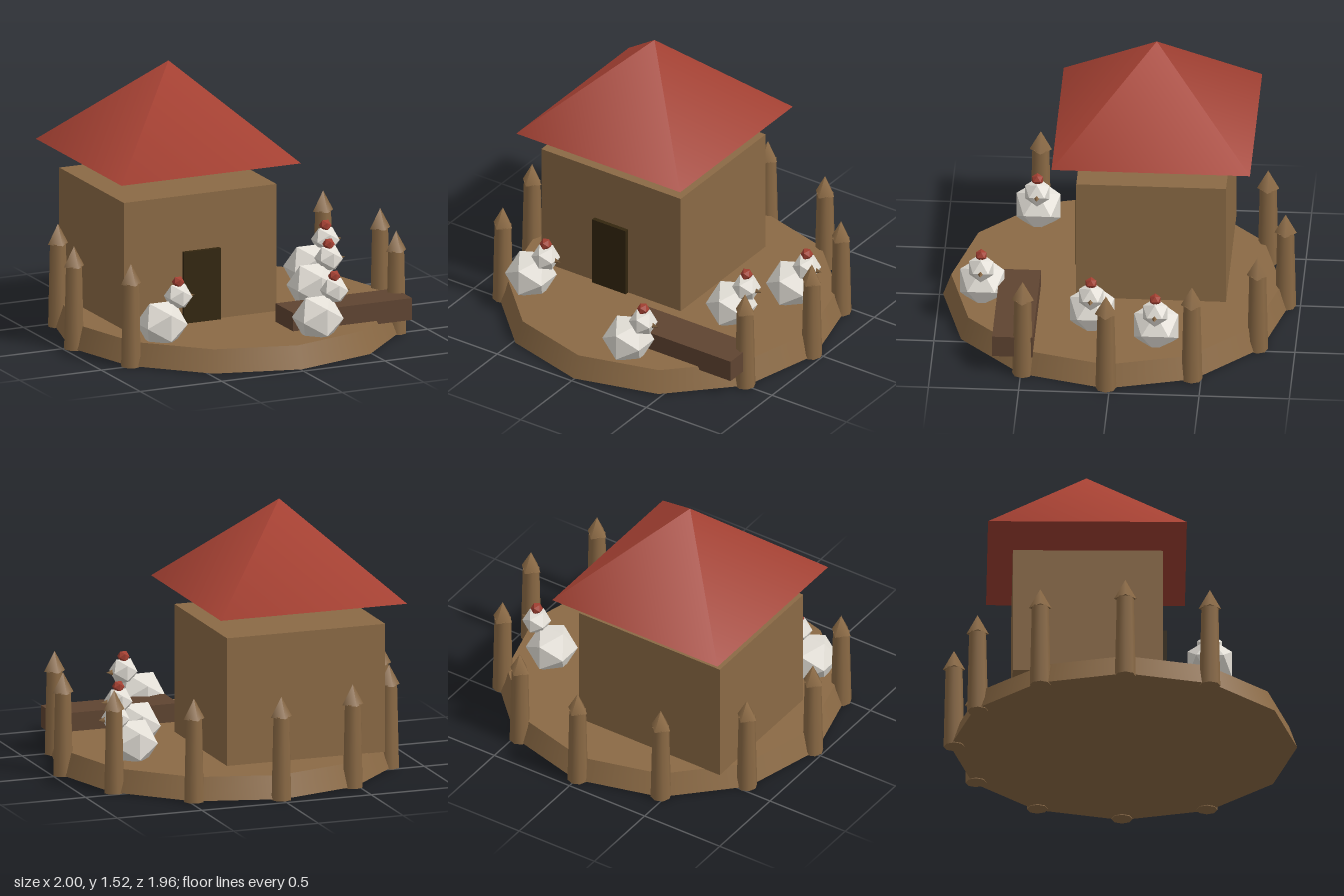
import * as THREE from 'three';

const mat = (name, color) => {
  const m = new THREE.MeshStandardMaterial({ color });
  m.name = name;
  return m;
};

export function createModel() {
  const wood = mat('wood', 0x8b6a45);
  const darkWood = mat('darkWood', 0x5f4431);
  const doorBrown = mat('doorBrown', 0x33260f);
  const red = mat('red', 0xa34032);
  const white = mat('white', 0xe4e0d8);

  const model = new THREE.Group();
  model.name = 'chickenYard';
  const add = (parent, name, geometry, material, x, y, z) => {
    const mesh = new THREE.Mesh(geometry, material);
    mesh.name = name;
    mesh.position.set(x, y, z);
    parent.add(mesh);
    return mesh;
  };

  // Twelve-sided ground platform
  const centreZ = 0.02;
  add(model, 'platform', new THREE.CylinderGeometry(0.915, 0.96, 0.127, 12), wood, 0, 0.0685, centreZ);

  // House with door and floating pyramid roof
  add(model, 'houseWalls', new THREE.BoxGeometry(0.935, 0.73, 0.83), wood, -0.265, 0.495, -0.185);
  add(model, 'door', new THREE.BoxGeometry(0.225, 0.41, 0.046), doorBrown, -0.262, 0.335, 0.232);
  const roofGeometry = new THREE.ConeGeometry(0.55 * Math.SQRT2, 0.52, 4).rotateY(Math.PI / 4);
  add(model, 'roof', roofGeometry, red, -0.26, 1.26, -0.188);

  // Feeding trough overhanging the platform edge
  add(model, 'trough', new THREE.BoxGeometry(0.73, 0.125, 0.225), darkWood, 0.465, 0.175, 0.545);

  // Pointed fence posts, leaving the front open
  const postGeometry = new THREE.CylinderGeometry(0.047, 0.058, 0.475, 8);
  const tipGeometry = new THREE.ConeGeometry(0.062, 0.115, 4);
  for (let i = -1; i <= 7; i++) {
    const angle = (i * Math.PI) / 6;
    const post = new THREE.Group();
    post.name = 'fencePost';
    post.position.set(Math.cos(angle) * 0.938, 0, centreZ - Math.sin(angle) * 0.938);
    add(post, 'postShaft', postGeometry, wood, 0, 0.2375, 0);
    add(post, 'postTip', tipGeometry, wood, 0, 0.5275, 0);
    model.add(post);
  }

  // Faceted chickens, all facing the model's left
  const bodyGeometry = new THREE.IcosahedronGeometry(0.144, 0);
  const headGeometry = new THREE.IcosahedronGeometry(0.08, 0);
  const combGeometry = new THREE.IcosahedronGeometry(0.035, 0);
  const beakGeometry = new THREE.ConeGeometry(0.027, 0.06, 4).rotateZ(-Math.PI / 2);
  const spots = [[-0.624, 0.49], [0.208, 0.75], [0.472, 0.125], [0.626, -0.24]];
  for (const [x, z] of spots) {
    const chicken = new THREE.Group();
    chicken.name = 'chicken';
    chicken.position.set(x, 0, z);
    add(chicken, 'body', bodyGeometry, white, 0, 0.22, 0);
    add(chicken, 'head', headGeometry, white, 0.1, 0.365, 0);
    add(chicken, 'comb', combGeometry, red, 0.1, 0.447, 0);
    add(chicken, 'beak', beakGeometry, wood, 0.17, 0.362, 0);
    model.add(chicken);
  }

  return model;
}
